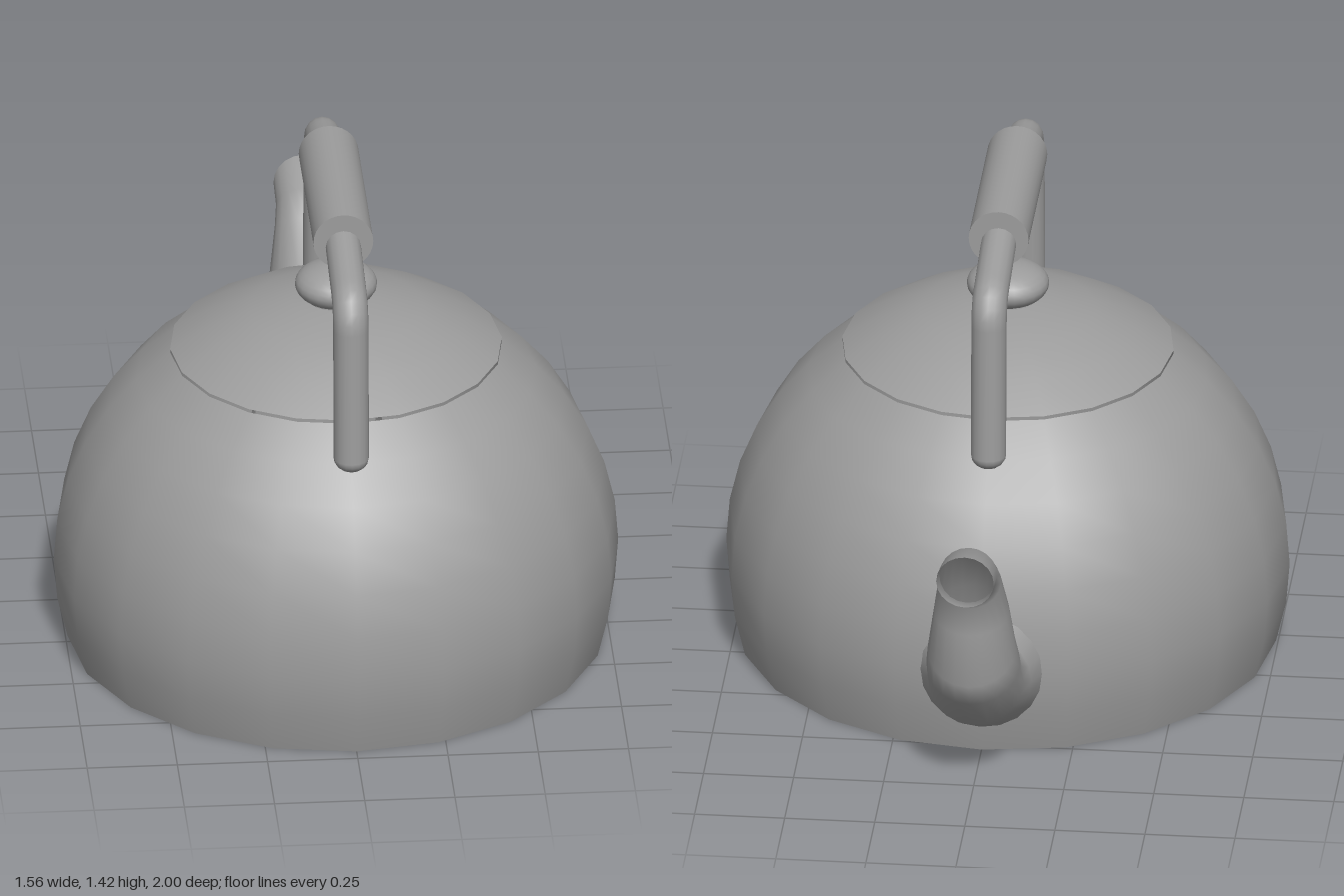
import * as THREE from 'three';

const AXIS_Z = 0.215; // the pot's axis sits forward to leave room for the spout
const R = 0.782;
const CY = 0.25;

const grey = new THREE.MeshStandardMaterial({ color: 0x9c9c9c, side: THREE.DoubleSide });
grey.name = 'grey metal';

function part(name, geometry, parent) {
  const mesh = new THREE.Mesh(geometry, grey);
  mesh.name = name;
  parent.add(mesh);
  return mesh;
}

// Zone of a sphere between two latitudes, in 9 degree rings
function sphereZone(from, to) {
  const points = [];
  for (let deg = from; deg <= to; deg += 9) {
    const a = THREE.MathUtils.degToRad(deg);
    points.push(new THREE.Vector2(Math.max(0, R * Math.cos(a)), CY + R * Math.sin(a)));
  }
  return new THREE.LatheGeometry(points, 20);
}

// Skin over elliptical sections: [top z, top y, bottom z, bottom y, half width]
function loft(sections, sides) {
  const pos = [], index = [];
  sections.forEach(([uz, uy, lz, ly, w], i) => {
    for (let j = 0; j < sides; j++) {
      const a = (j / sides) * Math.PI * 2, c = Math.cos(a);
      pos.push(w * Math.sin(a), (uy + ly) / 2 + ((uy - ly) / 2) * c, (uz + lz) / 2 + ((uz - lz) / 2) * c);
      if (i === sections.length - 1) continue;
      const p = i * sides + j, q = i * sides + ((j + 1) % sides);
      index.push(p, q, p + sides, q, q + sides, p + sides);
    }
  });
  const g = new THREE.BufferGeometry();
  g.setAttribute('position', new THREE.Float32BufferAttribute(pos, 3));
  g.setIndex(index);
  g.computeVertexNormals();
  return g;
}

export function createModel() {
  const model = new THREE.Group();
  model.name = 'kettle';

  const pot = new THREE.Group();
  pot.name = 'pot';
  pot.position.z = AXIS_Z;
  model.add(pot);

  // Open-topped body with a flat base
  part('body', sphereZone(-18, 54), pot);
  const base = part('base', new THREE.CircleGeometry(R * Math.cos(Math.PI / 10), 20), pot);
  base.rotation.x = Math.PI / 2;
  base.rotation.z = Math.PI / 2;
  base.position.y = CY - R * Math.sin(Math.PI / 10);

  // Lid, lifted to leave a thin gap at the rim
  part('lid', sphereZone(54, 90), pot).position.y = 0.01;

  // Flattened knob
  const knob = part('knob', new THREE.SphereGeometry(0.114, 24, 14), pot);
  knob.scale.y = 0.53;
  knob.position.y = 1.081;
  const neck = part('knobNeck', new THREE.CylinderGeometry(0.075, 0.085, 0.05, 24), pot);
  neck.position.y = 1.04;

  // Handle bar: two legs with rounded bends, running through the grip
  const v = (z, y) => new THREE.Vector3(0, y, z);
  const path = new THREE.CurvePath();
  path.add(new THREE.LineCurve3(v(0.55, 0.825), v(0.533, 1.215)));
  path.add(new THREE.QuadraticBezierCurve3(v(0.533, 1.215), v(0.53, 1.282), v(0.465, 1.294)));
  path.add(new THREE.LineCurve3(v(0.465, 1.294), v(0.25, 1.335)));
  path.add(new THREE.LineCurve3(v(0.25, 1.335), v(-0.25, 1.335)));
  path.add(new THREE.LineCurve3(v(-0.25, 1.335), v(-0.465, 1.294)));
  path.add(new THREE.QuadraticBezierCurve3(v(-0.465, 1.294), v(-0.53, 1.282), v(-0.533, 1.215)));
  path.add(new THREE.LineCurve3(v(-0.533, 1.215), v(-0.55, 0.825)));
  part('handleBar', new THREE.TubeGeometry(path, 90, 0.049, 16, false), pot);
  for (const s of [1, -1]) {
    const foot = part('handleFoot', new THREE.SphereGeometry(0.049, 16, 10), pot);
    foot.scale.y = 0.8;
    foot.position.set(0, 0.825, s * 0.55);
  }

  const grip = part('grip', new THREE.CylinderGeometry(0.083, 0.083, 0.53, 28), pot);
  grip.rotation.x = Math.PI / 2;
  grip.position.y = 1.348;

  // Curved spout, flared at the root and open at the tip
  part('spout', loft([
    [-0.51, 0.45, -0.50, 0.06, 0.185],
    [-0.58, 0.395, -0.60, 0.12, 0.145],
    [-0.63, 0.42, -0.76, 0.20, 0.132],
    [-0.66, 0.47, -0.87, 0.32, 0.13],
    [-0.69, 0.53, -0.915, 0.395, 0.122],
    [-0.712, 0.61, -0.905, 0.55, 0.105],
    [-0.80, 0.75, -0.917, 0.64, 0.087],
    [-0.87, 0.805, -0.94, 0.67, 0.08],
    [-1.0, 0.84, -0.99, 0.68, 0.08],
  ], 20), model);

  return model;
}
